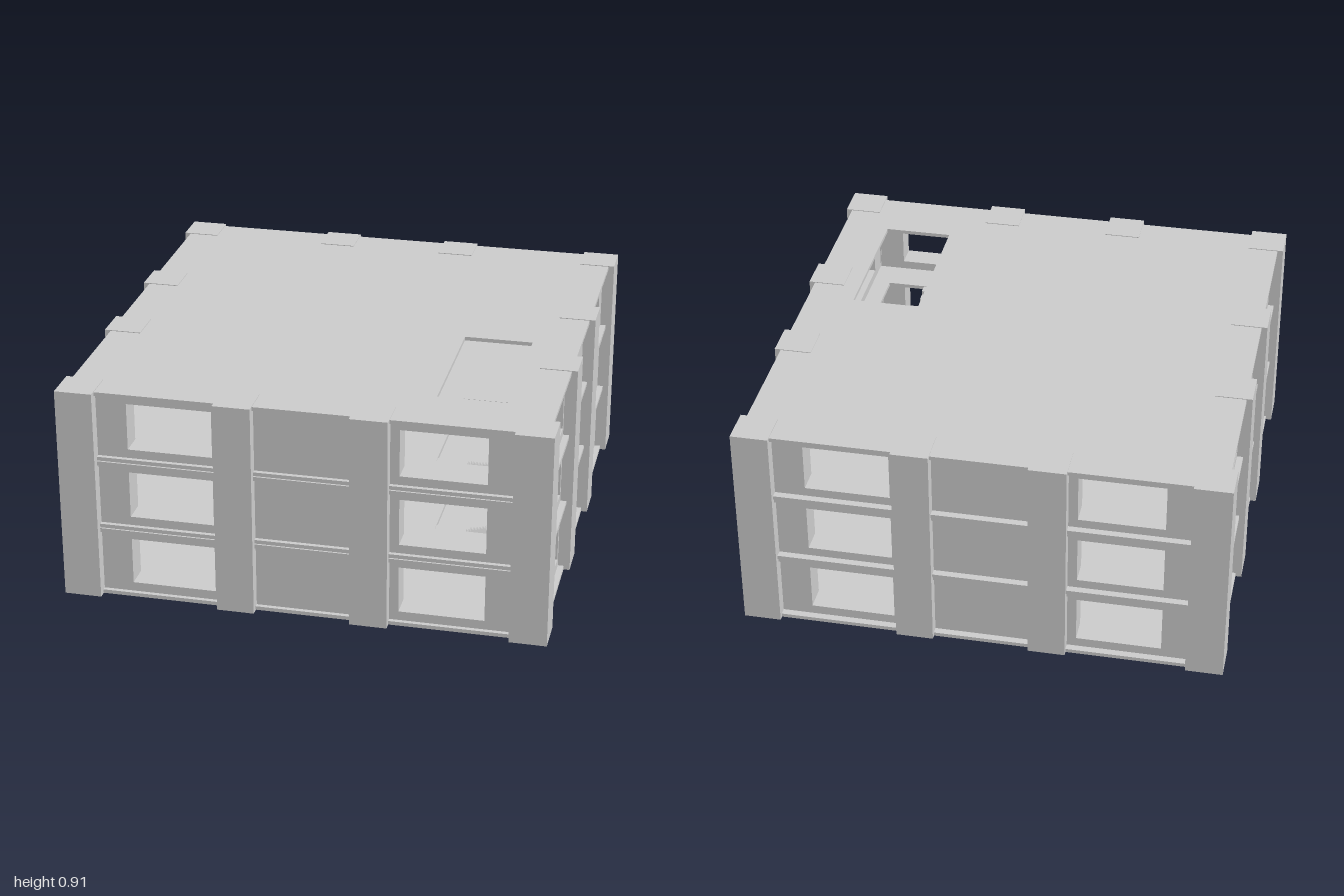
import * as THREE from 'three';

const STOREY = 0.302, STOREYS = 3, HEIGHT = 0.91, SLAB = 0.016;
const material = new THREE.MeshStandardMaterial({ color: 0xcccccc });

function add(parent, name, geometry, x = 0, y = 0, z = 0) {
  const mesh = new THREE.Mesh(geometry, material);
  mesh.name = name;
  mesh.position.set(x, y, z);
  parent.add(mesh);
  return mesh;
}

function outline(Type, x0, y0, x1, y1) {
  return new Type([[x0, y0], [x1, y0], [x1, y1], [x0, y1]].map(p => new THREE.Vector2(...p)));
}

const extrude = (shape, depth) => new THREE.ExtrudeGeometry(shape, { depth, bevelEnabled: false });

// Wall over all storeys with two window columns, and an optional door
function createWall(name, windows, angle, door) {
  const wall = new THREE.Group();
  wall.name = name;
  const shape = outline(THREE.Shape, -0.9, 0.005, 0.9, 0.9);
  for (let i = 0; i < STOREYS; i++) {
    for (const [a, b] of windows) {
      shape.holes.push(outline(THREE.Path, a, 0.056 + i * STOREY, b, 0.256 + i * STOREY));
    }
  }
  if (door) shape.holes.push(outline(THREE.Path, door[0], 0.016, door[1], 0.22));
  add(wall, 'wallPanel', extrude(shape, 0.1), 0, 0, 0.85);
  // Ledge under each floor
  for (let i = 1; i < STOREYS; i++) {
    add(wall, 'ledge', new THREE.BoxGeometry(1.8, 0.018, 0.03), 0, i * STOREY - 0.009, 0.955);
  }
  wall.rotation.y = angle;
  return wall;
}

// Floor plate, with or without the stairwell opening
function createSlab(withOpening) {
  const shape = outline(THREE.Shape, -0.975, -0.968, 0.975, 0.98);
  if (withOpening) shape.holes.push(outline(THREE.Path, 0.49, -0.71, 0.775, -0.09));
  return extrude(shape, SLAB).rotateX(-Math.PI / 2);
}

// Straight flight rising towards the front, with a sloped underside
function createStairs() {
  const steps = 16, z0 = 0.09, z1 = 0.71;
  const run = (z1 - z0) / steps, rise = STOREY / steps;
  const shape = new THREE.Shape();
  shape.moveTo(-z0, SLAB);
  for (let i = 0; i < steps; i++) {
    shape.lineTo(-(z0 + i * run), SLAB + (i + 1) * rise);
    shape.lineTo(-(z0 + (i + 1) * run), SLAB + (i + 1) * rise);
  }
  shape.lineTo(-z1, SLAB + STOREY - 0.028);
  shape.lineTo(-(z0 + 0.057), SLAB);
  return extrude(shape, 0.125).rotateY(Math.PI / 2);
}

export function createModel() {
  const building = new THREE.Group();
  building.name = 'building';

  // Pillars around the perimeter
  const spots = [-0.923, -0.275, 0.275, 0.923];
  const pillar = new THREE.BoxGeometry(0.154, HEIGHT, 0.154);
  for (const x of spots) {
    for (const z of spots) {
      if (Math.max(Math.abs(x), Math.abs(z)) > 0.9) add(building, 'pillar', pillar, x, HEIGHT / 2, z);
    }
  }

  // Four walls
  const facade = [[-0.72, -0.37], [0.39, 0.74]];
  building.add(
    createWall('frontWall', facade, 0),
    createWall('backWall', facade, Math.PI),
    createWall('leftWall', [[-0.745, -0.375], [0.38, 0.75]], Math.PI / 2),
    createWall('rightWall', [[-0.75, -0.38], [0.375, 0.745]], -Math.PI / 2, [-0.1, 0.09])
  );

  // Ground slab, upper floors and roof
  add(building, 'groundSlab', createSlab(false), 0, 0.001, 0);
  for (let i = 1; i < STOREYS; i++) add(building, 'floorSlab', createSlab(true), 0, i * STOREY + 0.003, 0);
  add(building, 'roofSlab', createSlab(true), 0, HEIGHT - SLAB - 0.003, 0);

  // Stair flights joining the storeys
  for (let i = 0; i < STOREYS - 1; i++) add(building, 'stairs', createStairs(), 0.49, i * STOREY, 0);

  return building;
}
